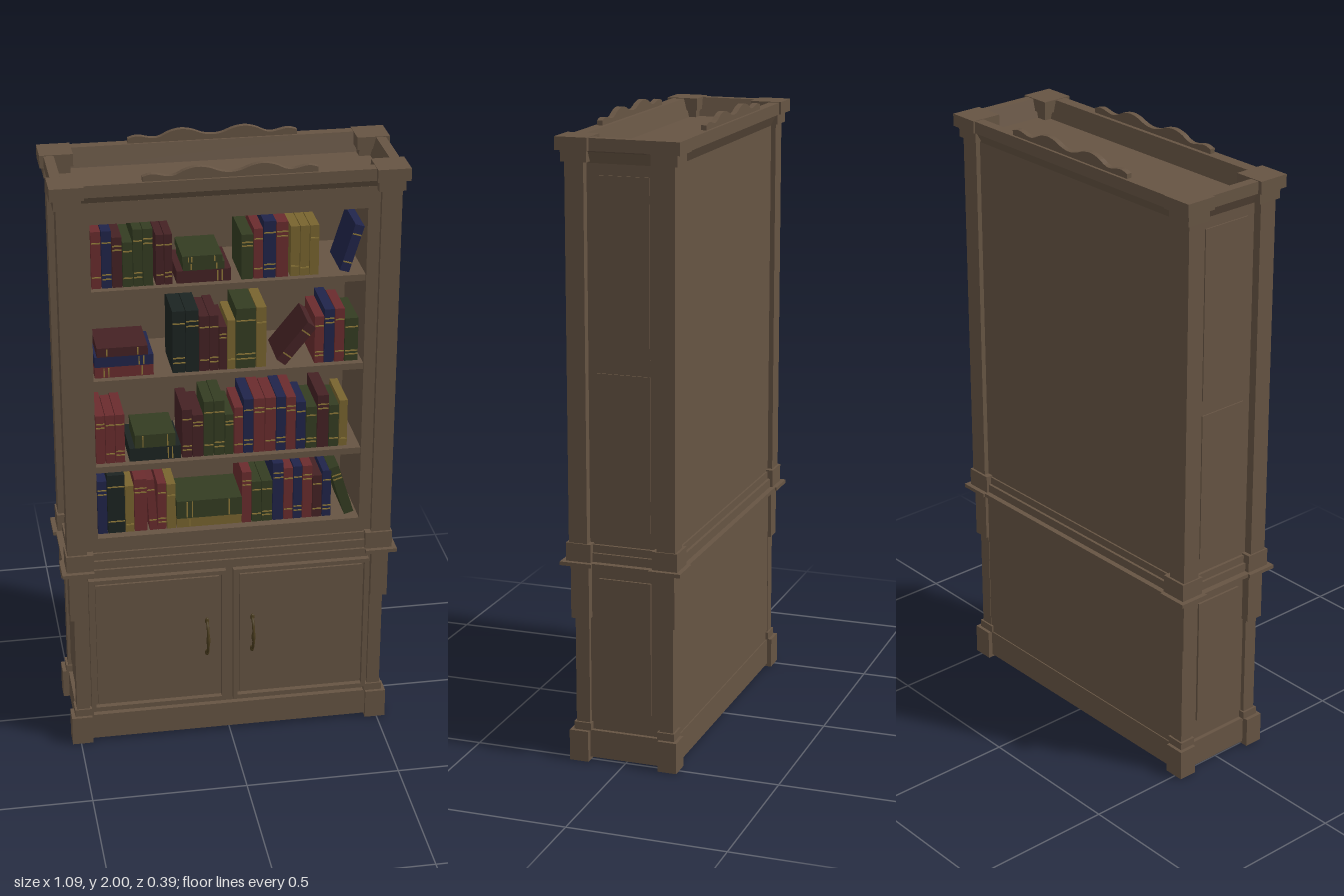
import * as THREE from 'three';

const mat = (name, color) => {
  const m = new THREE.MeshStandardMaterial({ color });
  m.name = name;
  return m;
};

export function createModel() {
  const wood = mat('brown wood', 0x665443);
  const brass = mat('aged brass', 0x4a3c1e);
  const gold = mat('gilt band', 0x8f7838);
  const covers = {
    r: mat('red cover', 0x6a2c2e), m: mat('maroon cover', 0x452224), n: mat('navy cover', 0x20244a),
    g: mat('green cover', 0x343d22), y: mat('tan cover', 0x78642f), k: mat('black cover', 0x1c2422),
  };
  const model = new THREE.Group();
  model.name = 'bookcase';

  const add = (name, geometry, material = wood, parent = model) => {
    const mesh = new THREE.Mesh(geometry, material);
    mesh.name = name;
    parent.add(mesh);
    return mesh;
  };
  // Box given by its limits on each axis
  const box = (name, x0, x1, y0, y1, z0, z1, material = wood, parent = model) => {
    const mesh = add(name, new THREE.BoxGeometry(x1 - x0, y1 - y0, z1 - z0), material, parent);
    mesh.position.set((x0 + x1) / 2, (y0 + y1) / 2, (z0 + z1) / 2);
    return mesh;
  };
  // The same block at all four corners
  const corners = (name, xi, xo, zi, zo, y0, y1) => {
    for (const sx of [-1, 1]) for (const sz of [-1, 1]) {
      const m = box(name, xi, xo, y0, y1, zi, zo);
      m.position.x *= sx;
      m.position.z *= sz;
    }
  };
  const rect = (C, x0, x1, y0, y1) => {
    const p = new C();
    p.moveTo(x0, y0).lineTo(x1, y0).lineTo(x1, y1).lineTo(x0, y1).closePath();
    return p;
  };
  // Rectangular frame with a border, extruded along z
  const frame = (name, o, i, z0, z1) => {
    const s = rect(THREE.Shape, ...o);
    s.holes.push(rect(THREE.Path, ...i));
    const g = new THREE.ExtrudeGeometry(s, { depth: z1 - z0, bevelEnabled: false });
    return add(name, g.translate(0, 0, z0));
  };

  // Plinth and base corners
  box('plinth', -0.508, 0.508, 0.01, 0.1, -0.162, 0.165);
  corners('baseBlock', 0.46, 0.528, 0.115, 0.177, 0, 0.1);
  corners('baseStep', 0.455, 0.516, 0.11, 0.166, 0.1, 0.125);

  // Lower cabinet
  box('cabinet', -0.495, 0.495, 0.1, 0.66, -0.158, 0.147);
  corners('lowerPilaster', 0.467, 0.509, 0.115, 0.16, 0.12, 0.65);
  corners('bracket', 0.467, 0.522, 0.11, 0.169, 0.47, 0.647);
  box('cabinetTopRail', -0.467, 0.467, 0.625, 0.65, 0.14, 0.155);

  // Doors with rims and sunken panels, and bowed handles
  for (const s of [-1, 1]) {
    const cx = s * 0.236, w = 0.224;
    frame('doorRim', [cx - w, cx + w, 0.115, 0.61], [cx - w + 0.014, cx + w - 0.014, 0.129, 0.596], 0.147, 0.166);
    box('doorPanel', cx - w + 0.022, cx + w - 0.022, 0.137, 0.588, 0.147, 0.16);
    const hx = s * 0.075;
    const bow = new THREE.CatmullRomCurve3([
      [0.425, 0.158], [0.415, 0.176], [0.39, 0.188], [0.365, 0.191], [0.34, 0.188], [0.315, 0.176], [0.305, 0.158],
    ].map(([y, z]) => new THREE.Vector3(hx, y, z)));
    add('handle', new THREE.TubeGeometry(bow, 20, 0.0045, 8), brass);
    for (const y of [0.425, 0.305]) {
      const rose = add('handleRose', new THREE.SphereGeometry(0.009, 10, 8), brass);
      rose.scale.set(0.8, 1.3, 0.5);
      rose.position.set(hx, y, 0.163);
    }
    const grip = add('handleGrip', new THREE.SphereGeometry(0.007, 10, 8), brass);
    grip.scale.y = 3;
    grip.position.set(hx, 0.365, 0.189);
  }

  // Waist moulding
  box('waistLedge', -0.535, 0.535, 0.645, 0.657, -0.19, 0.178);
  corners('waistLedgeCorner', 0.442, 0.545, 0.093, 0.196, 0.645, 0.657);
  box('waistBand', -0.515, 0.515, 0.657, 0.685, -0.172, 0.17);
  box('waistStep', -0.507, 0.507, 0.685, 0.71, -0.163, 0.162);
  corners('waistBlock', 0.442, 0.53, 0.1, 0.181, 0.655, 0.715);

  // Upper case, open at the front
  frame('upperCase', [-0.498, 0.498, 0.7, 1.9], [-0.424, 0.424, 0.76, 1.83], -0.15, 0.155);
  box('backPanel', -0.49, 0.49, 0.7, 1.9, -0.157, -0.14);
  corners('column', 0.462, 0.525, 0.113, 0.173, 0.7, 1.9);
  for (const y of [1.61, 1.31, 1.012]) box('shelf', -0.425, 0.425, y - 0.021, y, -0.145, 0.148);

  // Slightly raised side panels
  for (const [y0, y1] of [[0.76, 1.25], [1.3, 1.85], [0.17, 0.6]])
    for (const s of [-1, 1]) box('sidePanel', s * 0.498 - 0.004, s * 0.498 + 0.004, y0, y1, -0.085, 0.085);

  // Crown: sloped rails around a sunken top, with corner blocks
  const rail = (name, out, inn, half, angle) => {
    const pts = [[inn - 0.03, 1.885], [out - 0.032, 1.885], [out - 0.012, 1.92], [out, 1.925],
      [out, 1.963], [inn + 0.016, 1.963], [inn, 1.9]];
    const s = new THREE.Shape(pts.map(p => new THREE.Vector2(...p)));
    const g = new THREE.ExtrudeGeometry(s, { depth: half * 2, bevelEnabled: false });
    add(name, g.translate(0, 0, -half).rotateY(angle));
  };
  rail('crownFront', 0.178, 0.123, 0.46, -Math.PI / 2);
  rail('crownBack', 0.19, 0.14, 0.46, Math.PI / 2);
  rail('crownLeft', 0.532, 0.485, 0.12, 0);
  rail('crownRight', 0.532, 0.485, 0.12, Math.PI);
  box('top', -0.49, 0.49, 1.885, 1.902, -0.15, 0.14);
  corners('columnCap', 0.45, 0.533, 0.1, 0.183, 1.89, 1.926);
  corners('crownBlock', 0.442, 0.545, 0.093, 0.196, 1.925, 1.965);

  // Scrolled crests at front and back
  const crest = new THREE.Shape();
  crest.moveTo(-0.265, 1.955).lineTo(0.265, 1.955).lineTo(0.265, 1.978);
  crest.splineThru([[0.235, 1.985], [0.19, 1.976], [0.165, 1.979], [0.135, 1.993], [0.1, 2], [0.065, 1.995],
    [0.03, 1.982], [0, 1.978], [-0.03, 1.982], [-0.065, 1.995], [-0.1, 2], [-0.135, 1.993], [-0.165, 1.979],
    [-0.19, 1.976], [-0.235, 1.985], [-0.265, 1.978]].map(p => new THREE.Vector2(...p)));
  for (const z of [0.152, -0.181]) {
    const g = new THREE.ExtrudeGeometry(crest, { depth: 0.018, bevelEnabled: false, curveSegments: 3 });
    add('crest', g.translate(0, 0, z));
  }

  // Book with its base centre at (x, y), spine facing forward and gilt bands
  const FRONT = 0.125;
  let count = 0;
  const book = (color, x, y, w, h, tilt = 0) => {
    const g = new THREE.Group();
    g.name = 'book';
    g.position.set(x, y, 0);
    g.rotation.z = tilt;
    const depth = 0.15 + (count % 3) * 0.012;
    box('cover', -w / 2 + 0.001, w / 2 - 0.001, 0, h, FRONT - depth, FRONT, covers[color], g);
    const flat = w > h;
    const spots = [[0.2, 0.8], [0.16, 0.24, 0.8], [0.75, 0.83]][count++ % 3];
    if (color === 'y') spots.length = 1;
    for (const t of spots) {
      if (flat) box('band', (t - 0.5) * w - 0.002, (t - 0.5) * w + 0.002, 0.003, h - 0.003, FRONT - 0.002, FRONT + 0.002, gold, g);
      else box('band', -w / 2 + 0.002, w / 2 - 0.002, t * h - 0.002, t * h + 0.002, FRONT - 0.002, FRONT + 0.002, gold, g);
    }
    model.add(g);
  };
  // Run of upright books: start x, shelf y, then "colour width height" in thousandths
  const row = (x, y, list) => {
    for (const item of list.split(',')) {
      const [c, w, h] = item.trim().split(' ');
      book(c, x + w / 2000, y, w / 1000, h / 1000);
      x += w / 1000;
    }
  };

  // Top shelf
  row(-0.42, 1.61, 'r 32 185,n 32 185,m 32 163,g 32 145,g 30 185,g 32 185');
  row(-0.223, 1.61, 'm 26 163,m 26 163');
  book('m', -0.075, 1.61, 0.17, 0.04);
  book('g', -0.075, 1.65, 0.13, 0.025);
  book('g', -0.08, 1.675, 0.125, 0.022);
  row(0.04, 1.61, 'g 38 146,r 30 163,n 40 185,r 38 180');
  row(0.192, 1.61, 'y 30 163,y 30 163,y 30 163');
  book('n', 0.362, 1.615, 0.032, 0.155, -0.3);

  // Second shelf
  book('r', -0.325, 1.31, 0.185, 0.036);
  book('n', -0.325, 1.346, 0.185, 0.034);
  book('m', -0.33, 1.38, 0.16, 0.03);
  row(-0.175, 1.31, 'k 42 207,k 42 207,m 32 185,m 30 185,m 26 145,y 27 165,g 64 202,y 33 202');
  book('m', 0.167, 1.32, 0.037, 0.155, -0.68);
  row(0.272, 1.31, 'r 31 158,n 33 180,r 32 180,g 44 145');

  // Third shelf
  row(-0.42, 1.012, 'r 31 167,r 31 167,r 31 167');
  book('k', -0.232, 1.012, 0.165, 0.045);
  book('g', -0.232, 1.057, 0.13, 0.045);
  row(-0.147, 1.012, 'm 33 167,m 36 146,g 33 190,g 35 190,g 29 140,r 30 162,n 33 188,r 36 188,r 36 188,'
    + 'n 32 188,r 32 185,n 32 165,g 36 145,m 38 183,g 33 146,y 28 160');

  // Bottom shelf
  row(-0.42, 0.76, 'n 32 188,k 57 207,y 29 165,r 42 186');
  book('r', -0.24, 0.76, 0.028, 0.182, 0.06);
  row(-0.228, 0.76, 'r 30 165,y 30 160');
  book('y', -0.06, 0.76, 0.212, 0.032);
  book('g', -0.06, 0.792, 0.212, 0.062);
  row(0.045, 0.76, 'r 32 182,g 32 145,g 36 145,n 36 205,r 31 185,n 30 188,r 33 188,m 32 150,n 30 165');
  book('g', 0.397, 0.765, 0.034, 0.178, 0.3);

  return model;
}
